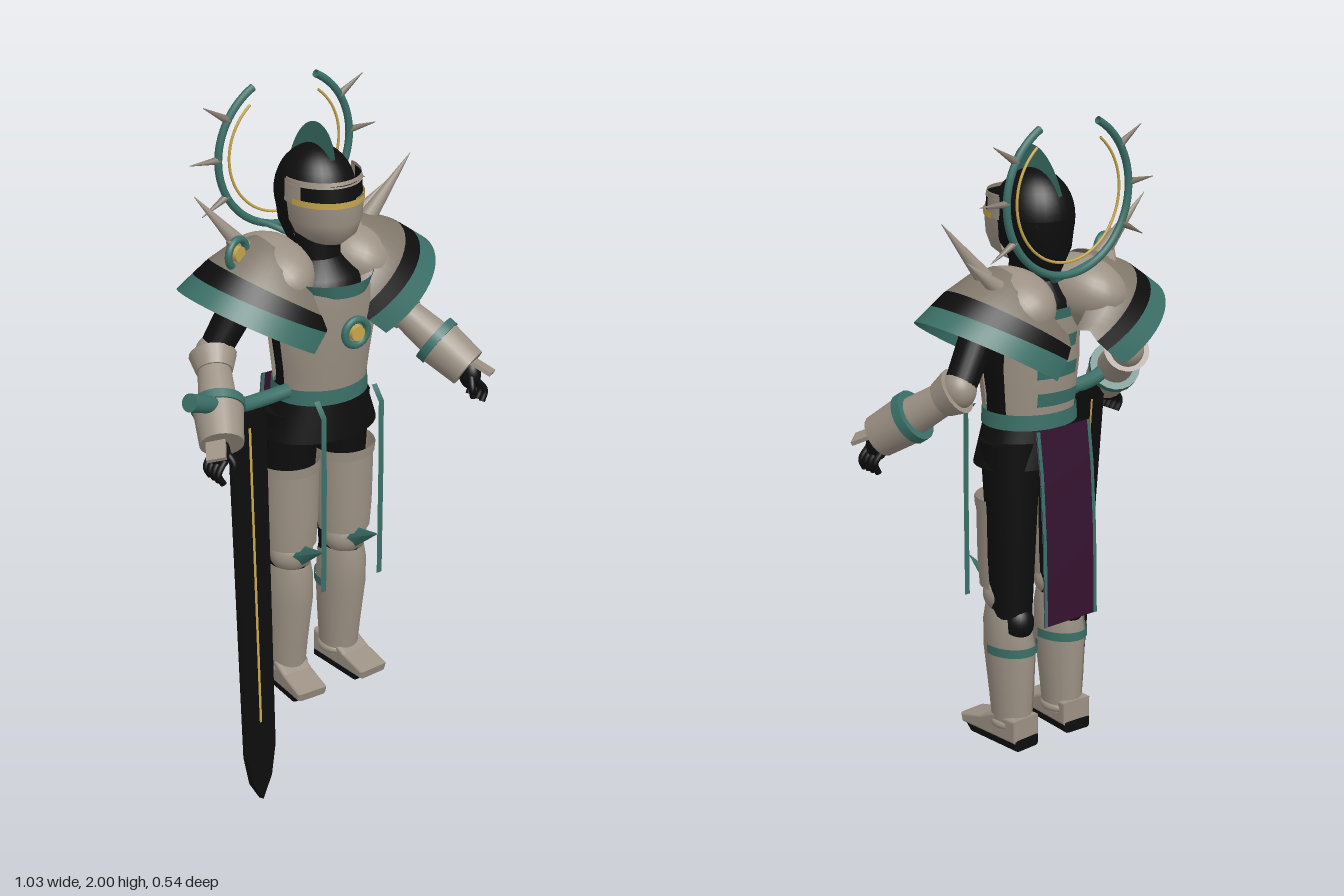
import * as THREE from 'three';

const mat = (name, color) => new THREE.MeshStandardMaterial({ name, color, side: THREE.DoubleSide });
const plate = mat('bone plate', 0x9c9184);
const plateDark = mat('dark bone plate', 0x7f7669);
const teal = mat('teal trim', 0x3a6f67);
const black = mat('black cloth', 0x0d0d0d);
const gold = mat('gold', 0xc6a64c);
const purple = mat('purple cloth', 0x34122f);

const V = (x, y, z) => new THREE.Vector3(x, y, z);

function add(parent, name, geo, material, pos) {
  const m = new THREE.Mesh(geo, material);
  m.name = name;
  if (pos) m.position.copy(pos);
  parent.add(m);
  return m;
}

// Surface through rows of points
function loft(rows) {
  const n = rows[0].length, pos = [], idx = [];
  rows.forEach(r => r.forEach(p => pos.push(p.x, p.y, p.z)));
  for (let i = 0; i < rows.length - 1; i++)
    for (let j = 0; j < n - 1; j++) {
      const a = i * n + j, b = a + 1, c = a + n, d = c + 1;
      idx.push(a, b, d, a, d, c);
    }
  const g = new THREE.BufferGeometry();
  g.setAttribute('position', new THREE.Float32BufferAttribute(pos, 3));
  g.setIndex(idx);
  g.computeVertexNormals();
  return g;
}

// Elliptic shell; rings are [y, rx, rz, zc] from bottom to top, angles in degrees from the front
function shell(rings, a0 = -180, a1 = 180, cx = 0, seg = 32) {
  return loft(rings.map(([y, rx, rz, zc = 0]) => Array.from({ length: seg + 1 }, (_, j) => {
    const a = THREE.MathUtils.degToRad(a0 + (a1 - a0) * j / seg);
    return V(cx + rx * Math.sin(a), y, zc + rz * Math.cos(a));
  })));
}

// Tapered cylinder from a to b
function limb(parent, name, a, b, r0, r1, material, sides = 20) {
  const m = add(parent, name, new THREE.CylinderGeometry(r1, r0, a.distanceTo(b), sides), material,
    a.clone().lerp(b, 0.5));
  m.quaternion.setFromUnitVectors(V(0, 1, 0), b.clone().sub(a).normalize());
  return m;
}

function ball(parent, name, c, rx, ry, rz, material) {
  const m = add(parent, name, new THREE.SphereGeometry(1, 28, 20), material, c);
  m.scale.set(rx, ry, rz);
  return m;
}

const tube = (pts, r, seg = 24) => new THREE.TubeGeometry(new THREE.CatmullRomCurve3(pts), seg, r, 10);

function buildTorso(g) {
  add(g, 'undershirt', shell([[1.1, .13, .1], [1.2, .133, .105], [1.32, .148, .12], [1.42, .15, .13],
    [1.49, .12, .12, -.01], [1.54, .06, .07, -.02]]), black);
  add(g, 'breastplate', shell([[1.15, .14, .122], [1.22, .146, .132], [1.32, .16, .146], [1.42, .148, .156],
    [1.48, .13, .158]], -78, 78), plate);
  add(g, 'backplate', shell([[1.15, .139, .112], [1.3, .155, .127], [1.44, .15, .137]], 115, 245), plate);
  for (const y of [1.19, 1.27, 1.35, 1.43])
    add(g, 'backBand', shell([[y, .152, .133], [y + .04, .155, .139]], 152, 208), teal);
  add(g, 'neckline', shell([[1.455, .125, .16], [1.495, .148, .165]], -62, 62), teal);
  limb(g, 'neck', V(0, 1.48, -.01), V(0, 1.64, -.01), .07, .06, black);
  add(g, 'belt', shell([[1.12, .146, .127], [1.165, .143, .125]]), teal);
  add(g, 'skirt', shell([[1.005, .18, .13], [1.13, .14, .118]]), black);
  // Chest medallion
  add(g, 'medallionRing', new THREE.TorusGeometry(.038, .011, 10, 28), teal, V(0, 1.355, .178));
  limb(g, 'medallionGem', V(0, 1.355, .14), V(0, 1.355, .19), .026, .022, gold);
  // Hanging ribbons and rear cloth
  for (const s of [-1, 1])
    add(g, 'ribbon', loft([[1.15, .13], [1.11, .165], [.9, .167], [.55, .165]]
      .map(([y, z]) => [V(s * .1 - .009, y, z), V(s * .1 + .009, y, z)])), teal);
  const cape = (x0, x1, dz) => loft([[1.13, -.148], [1, -.165], [.8, -.178], [.55, -.184]]
    .map(([y, z]) => [V(x0, y, z + dz), V(x1, y, z + dz)]));
  add(g, 'rearCloth', cape(-.1, .1, 0), purple);
  for (const s of [-1, 1]) for (const dz of [-.002, .002])
    add(g, 'rearClothTrim', cape(s * .1, s * .088, dz), teal);
}

function buildHead(g) {
  ball(g, 'hood', V(0, 1.715, -.02), .112, .135, .122, black);
  add(g, 'hoodBack', shell([[1.56, .065, .075, -.03], [1.63, .095, .105, -.03], [1.72, .111, .121, -.022]],
    75, 285), black);
  add(g, 'faceplate', shell([[1.59, .05, .075, .02], [1.62, .088, .112, .015], [1.66, .106, .128, .01],
    [1.715, .112, .132, .008]], -92, 92), plate);
  add(g, 'visorGoldLine', shell([[1.713, .114, .135, .008], [1.731, .114, .135, .008]], -80, 80), gold);
  add(g, 'visorSlit', shell([[1.73, .111, .129, .005], [1.775, .11, .125, .005]], -85, 85), black);
  add(g, 'browBand', shell([[1.768, .113, .128, .004], [1.785, .11, .122, .004]], -92, 92), plate);
  for (const s of [-1, 1])
    add(g, 'cheekPlate', shell([[1.715, .114, .13, .006], [1.78, .112, .125, .005]], s * 66, s * 95), plate);
  // Thin crest standing on the crown
  const c = new THREE.Shape();
  c.moveTo(-.075, 1.83);
  c.bezierCurveTo(-.06, 1.94, .07, 1.96, .14, 1.79);
  c.lineTo(.08, 1.76);
  add(g, 'crest', new THREE.ShapeGeometry(c, 20), teal).rotation.y = Math.PI / 2;
}

function buildHalo(g) {
  const halo = new THREE.Group();
  halo.name = 'halo';
  halo.position.set(0, 1.795, -.167);
  g.add(halo);
  const arc = (r, t, gap, name, m) => {
    const a = THREE.MathUtils.degToRad(gap);
    add(halo, name, new THREE.TorusGeometry(r, t, 10, 64, Math.PI * 2 - 2 * a), m).rotation.z = Math.PI / 2 + a;
  };
  arc(.222, .011, 28, 'haloRing', teal);
  arc(.186, .004, 38, 'haloInnerRing', gold);
  for (const s of [-1, 1]) {
    for (const d of [32, 2, -28]) {
      const a = THREE.MathUtils.degToRad(d), v = V(s * Math.cos(a), Math.sin(a), 0);
      limb(halo, 'haloSpike', v.clone().multiplyScalar(.22), v.clone().multiplyScalar(.315), .012, .001, plateDark, 8);
    }
    add(halo, 'haloBracket', tube([V(s * .1, -.195, 0), V(s * .05, -.22, .02), V(0, -.25, .06)], .009), teal);
  }
}

// Layered pauldron: arched bands between tilted half ellipses
function buildShoulder(g, s) {
  ball(g, 'shoulderCollar', V(s * .135, 1.485, -.06), .12, .105, .165, plate).rotation.z = -s * .45;
  // each arch: centre x, centre y, rise x, rise y, half depth
  const arches = [[.05, 1.45, .11, .15, .12], [.075, 1.45, .14, .137, .165], [.1, 1.42, .2, .128, .185],
    [.13, 1.39, .22, .122, .2], [.18, 1.345, .22, .13, .215]];
  const rows = arches.map(([cx, cy, ux, uy, d]) => Array.from({ length: 33 }, (_, j) => {
    const a = (-105 + 210 * j / 32) * Math.PI / 180;
    return V(s * (cx + ux * Math.cos(a)), cy + uy * Math.cos(a), -.055 + d * Math.sin(a));
  }));
  add(g, 'pauldronTop', loft(rows.slice(0, 3)), plateDark);
  add(g, 'pauldronBand', loft(rows.slice(2, 4)), black);
  add(g, 'pauldronRim', loft(rows.slice(3, 5)), teal);
  // Spikes
  limb(g, 'shoulderSpike', V(s * .19, 1.55, -.06), V(s * .345, 1.745, s > 0 ? -.04 : -.1), .03, .001, plate, 14);
  limb(g, 'shoulderSpike', V(s * .2, 1.55, -.11), V(s * .315, 1.645, s > 0 ? -.11 : .01), .028, .001, plate, 14);
}

function buildArm(g, s) {
  const P = (x, y, z) => V(s * x, y, z);
  const shoulder = P(.2, 1.47, -.05), elbow = P(.315, 1.28, -.07), wrist = P(.42, 1.13, .13);
  const at = t => elbow.clone().lerp(wrist, t);
  limb(g, 'upperArm', shoulder, elbow, .055, .045, black);
  ball(g, 'elbowCop', elbow, .05, .055, .05, plate);
  limb(g, 'elbowFlange', at(.02), at(.22), .068, .052, plate);
  limb(g, 'forearm', at(.1), at(.75), .045, .058, plate);
  limb(g, 'cuff', at(.62), at(1.08), .072, .062, plate);
  limb(g, 'cuffBand', at(.58), at(.68), .076, .076, teal);
  // Hand with fingers
  ball(g, 'palm', P(.437, 1.095, .145), .03, .045, .036, black);
  for (let i = 0; i < 4; i++) {
    const z = .115 + i * .021;
    add(g, 'finger', tube([P(.44, 1.085, z), P(.465, 1.05, z + .005), P(.452, 1.02, z + .008)], .0095, 8), black);
  }
  add(g, 'thumb', tube([P(.425, 1.1, .165), P(.415, 1.07, .185), P(.42, 1.04, .185)], .01, 8), black);
  const guard = add(g, 'handGuard', new THREE.BoxGeometry(.055, .012, .09), plate, P(.458, 1.125, .162));
  guard.rotation.set(.5, s * .5, -s * .5);
}

function buildLeg(g, s) {
  const x = s * .097;
  limb(g, 'thigh', V(x * .9, 1.08, -.02), V(x, .55, -.035), .088, .06, black);
  add(g, 'thighPlate', shell([[.64, .08, .08, -.015], [.72, .086, .085, -.015], [.88, .092, .088, -.018],
    [.915, .095, .092, -.018]], -100, 100, x), plate);
  add(g, 'thighPlateRim', shell([[.885, .095, .092, -.018], [.91, .097, .095, -.018]], -100, 100, x), plate);
  ball(g, 'kneeCop', V(x, .61, -.005), .068, .062, .06, plate);
  limb(g, 'kneePoint', V(x, .615, .035), V(x, .675, .155), .034, .002, teal, 4);
  ball(g, 'kneeBack', V(x, .53, -.055), .05, .06, .055, black);
  add(g, 'shinPlate', shell([[.2, .055, .062, -.035], [.3, .061, .072, -.033], [.45, .07, .086, -.025],
    [.53, .069, .08, -.02], [.575, .06, .068, -.015]], -135, 135, x), plate);
  add(g, 'calf', shell([[.2, .05, .06, -.038], [.45, .066, .083, -.026], [.53, .055, .07, -.025]], -180, 180, x), plate);
  add(g, 'calfStrap', shell([[.438, .074, .09, -.026], [.465, .074, .09, -.026]], 80, 280, x), teal);
  add(g, 'ankleRing', new THREE.TorusGeometry(.052, .013, 8, 24), plate, V(x, .215, -.035)).rotation.x = Math.PI / 2;
  // Boot: side profile extruded across the width
  const profile = (pts, w, name, m) => {
    const sh = new THREE.Shape(pts.map(p => new THREE.Vector2(...p)));
    const geo = new THREE.ExtrudeGeometry(sh, { depth: w, bevelSize: .008, bevelThickness: .012, bevelSegments: 3 });
    geo.translate(0, 0, -w / 2).rotateY(-Math.PI / 2);
    add(g, name, geo, m, V(x + s * .008, 0, 0)).rotation.y = s * .06;
  };
  profile([[-.098, .175], [-.098, .235], [-.01, .235], [.04, .212], [.122, .192], [.118, .178]], .075, 'boot', plate);
  profile([[-.1, .153], [-.1, .172], [.11, .178], [.085, .156]], .07, 'sole', black);
}

function buildSword(root) {
  const sword = new THREE.Group();
  sword.name = 'sword';
  root.add(sword);
  // Blade frame: y runs from the tip up to the guard
  const tip = V(-.37, 0, .262), top = V(-.27, 1.16, .06);
  const up = top.clone().sub(tip), len = up.length();
  up.normalize();
  const wide = V(.94, 0, -.35);
  wide.addScaledVector(up, -wide.dot(up)).normalize();
  const blade = new THREE.Group();
  blade.position.copy(tip);
  blade.quaternion.setFromRotationMatrix(new THREE.Matrix4().makeBasis(wide, up, wide.clone().cross(up)));
  sword.add(blade);
  const sh = new THREE.Shape([[0, 0], [.045, .06], [.068, .15], [.08, len], [-.08, len], [-.068, .15], [-.045, .06]]
    .map(p => new THREE.Vector2(...p)));
  add(blade, 'blade', new THREE.ExtrudeGeometry(sh, { depth: .016, bevelEnabled: false }).translate(0, 0, -.008), black);
  add(blade, 'bladeInlay', new THREE.BoxGeometry(.009, .88, .02), gold, V(0, .68, 0));
  add(sword, 'hilt', tube([V(-.385, 1.205, .085), V(-.3, 1.17, .06), V(-.2, 1.16, .045), V(-.12, 1.16, .04)], .022), teal);
  limb(sword, 'pommel', V(-.49, 1.255, .115), V(-.37, 1.2, .08), .026, .024, teal);
}

export function createModel() {
  const root = new THREE.Group();
  root.name = 'armoredKnight';
  const body = new THREE.Group();
  body.name = 'body';
  body.position.x = .02;
  root.add(body);
  buildTorso(body);
  buildHead(body);
  buildHalo(body);
  for (const s of [-1, 1]) {
    buildShoulder(body, s);
    buildArm(body, s);
    buildLeg(body, s);
  }
  // Round badge on the right shoulder
  const badge = new THREE.Group();
  badge.name = 'shoulderBadge';
  badge.position.set(-.255, 1.582, -.028);
  badge.rotation.y = .35;
  body.add(badge);
  add(badge, 'badgeRing', new THREE.TorusGeometry(.04, .011, 10, 28), teal);
  limb(badge, 'badgeGem', V(0, 0, -.012), V(0, 0, .012), .022, .022, gold);
  buildSword(root);
  return root;
}
